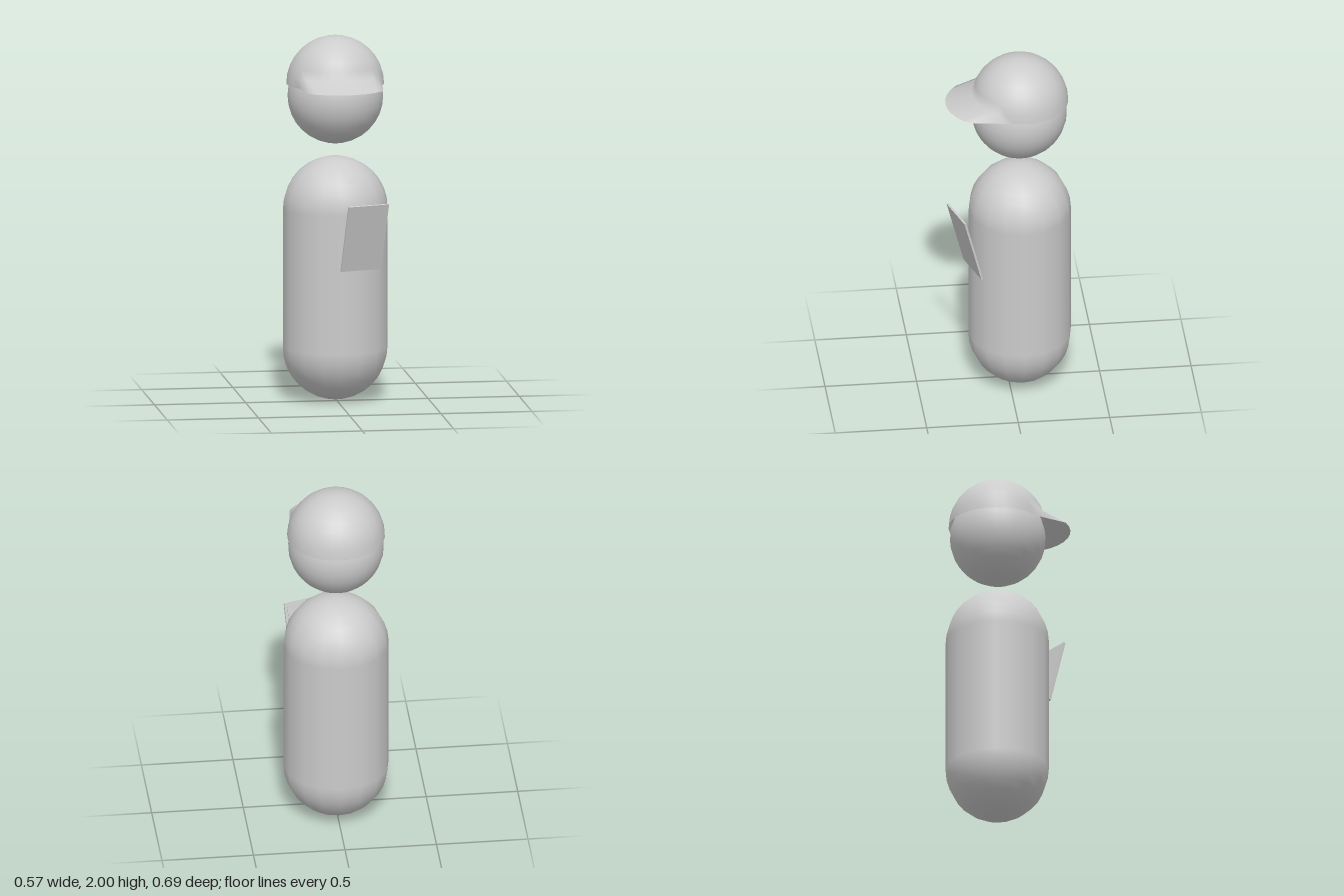
import * as THREE from 'three';
import { mergeVertices } from 'three/addons/utils/BufferGeometryUtils.js';

const CENTER_Z = -0.063;
const material = new THREE.MeshStandardMaterial({ color: 0xcccccc });
const openMaterial = new THREE.MeshStandardMaterial({ color: 0xcccccc, side: THREE.DoubleSide });

function addPart(parent, name, geometry, x, y, z, mat = material) {
  const mesh = new THREE.Mesh(geometry, mat);
  mesh.name = name;
  mesh.position.set(x, y, z);
  parent.add(mesh);
  return mesh;
}

// Half sphere whose front rim is pulled forward into a brim
function capGeometry() {
  const geo = new THREE.SphereGeometry(0.266, 32, 8, 0, Math.PI * 2, 0, Math.PI / 2);
  geo.scale(1, 0.99, 0.995);
  const pos = geo.attributes.position;
  for (let i = 0; i < pos.count; i++) {
    const angle = THREE.MathUtils.radToDeg(Math.atan2(pos.getX(i), pos.getZ(i)));
    const onRim = pos.getY(i) < 0.001;
    if (onRim && angle > -50 && angle < 60) pos.setZ(i, pos.getZ(i) + 0.141);
  }
  geo.deleteAttribute('uv');
  geo.deleteAttribute('normal');
  const merged = mergeVertices(geo, 1e-5);
  merged.computeVertexNormals();
  return merged;
}

export function createModel() {
  const model = new THREE.Group();
  model.name = 'figure';

  // Capsule body, slightly flatter front to back
  const radius = 0.287, height = 1.337;
  const body = new THREE.CapsuleGeometry(radius, height - 2 * radius, 8, 16);
  body.scale(1, 1, 0.975);
  addPart(model, 'body', body, 0, height / 2, CENTER_Z);

  // Head floating above the body
  addPart(model, 'head', new THREE.SphereGeometry(0.26, 32, 16), 0, 1.67, -0.06);

  // Cap with brim
  addPart(model, 'cap', capGeometry(), 0, 1.737, CENTER_Z, openMaterial);

  // Clipboard leaning against the chest, with a sheet on the side facing the body
  const clipboard = new THREE.Group();
  clipboard.name = 'clipboard';
  clipboard.position.set(0.118, 0.935, 0.249);
  clipboard.rotation.set(0.262, 0.305, 0, 'YXZ');
  addPart(clipboard, 'board', new THREE.BoxGeometry(0.241, 0.383, 0.011), 0, 0, 0);
  addPart(clipboard, 'sheet', new THREE.BoxGeometry(0.212, 0.345, 0.005), 0, 0, -0.007);
  model.add(clipboard);

  return model;
}
